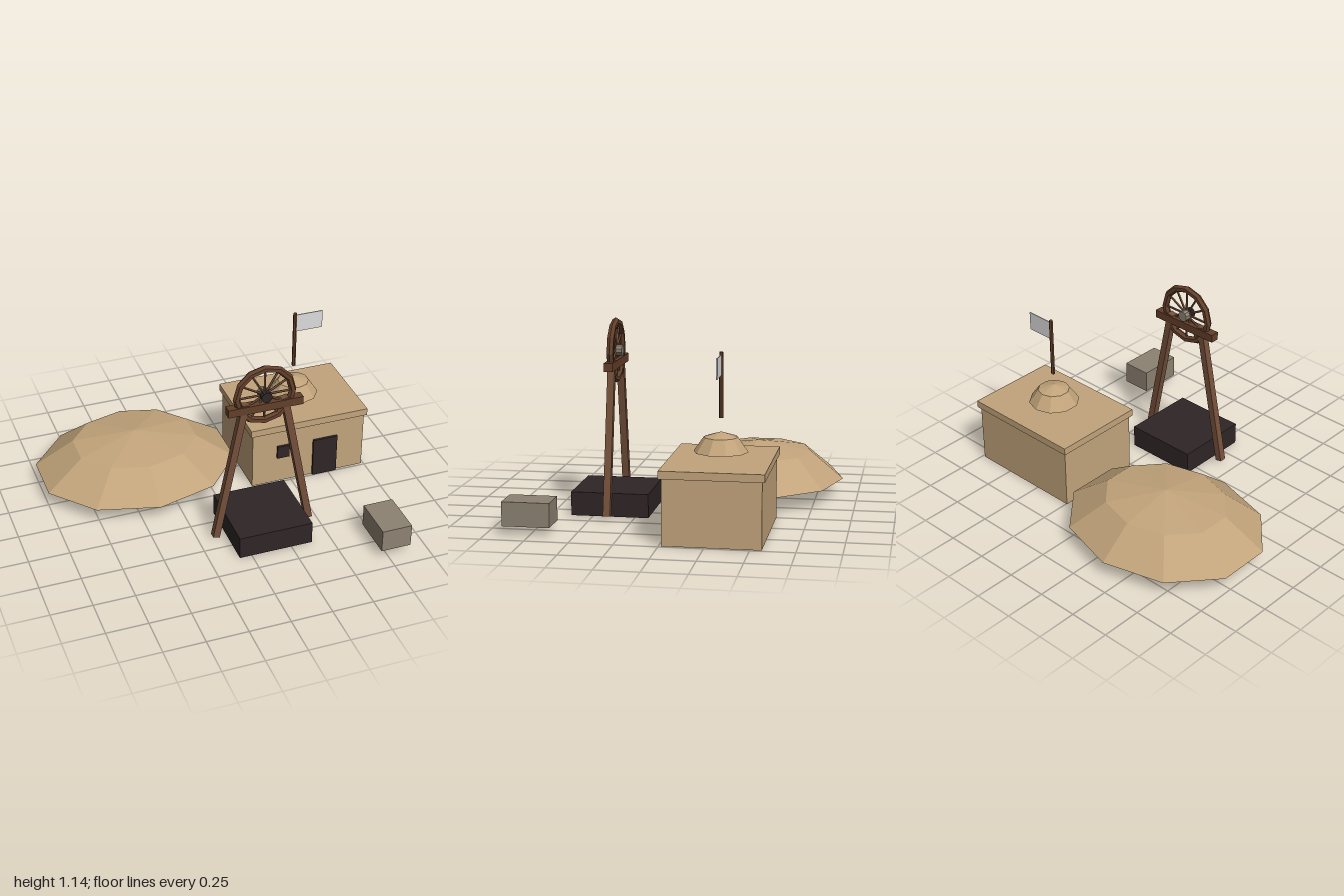
import * as THREE from 'three';

const mat = (name, color, extra = {}) => {
  const m = new THREE.MeshStandardMaterial({ color, flatShading: true, ...extra });
  m.name = name;
  return m;
};

export function createModel() {
  const model = new THREE.Group();
  model.name = 'mineSite';

  const sand = mat('sand', 0xc2a47b);
  const sandOpen = mat('sandOpen', 0xc2a47b, { side: THREE.DoubleSide });
  const wood = mat('wood', 0x74503a);
  const darkWood = mat('darkWood', 0x633f2a);
  const dark = mat('dark', 0x2f2526);
  const stone = mat('stone', 0x8d8272);
  const cloth = mat('cloth', 0xdcdcdc, { side: THREE.DoubleSide });

  const add = (name, geometry, material, parent = model) => {
    const mesh = new THREE.Mesh(geometry, material);
    mesh.name = name;
    parent.add(mesh);
    return mesh;
  };
  // Box given by its lower and upper corners
  const box = (name, material, [x0, y0, z0], [x1, y1, z1]) => {
    const mesh = add(name, new THREE.BoxGeometry(x1 - x0, y1 - y0, z1 - z0), material);
    mesh.position.set((x0 + x1) / 2, (y0 + y1) / 2, (z0 + z1) / 2);
    return mesh;
  };
  // Open ten-sided dome: base, shoulder ring and apex
  const dome = (name, r, shoulderR, shoulderY, h) => add(name, new THREE.LatheGeometry([
    new THREE.Vector2(r, 0), new THREE.Vector2(shoulderR, shoulderY), new THREE.Vector2(0, h),
  ], 10), sandOpen);

  // Spoil heap
  const heap = dome('spoilHeap', 0.631, 0.39, 0.166, 0.227);
  heap.position.set(-0.4, 0.105, -0.385);
  heap.scale.z = 0.832;

  // Hut
  box('hutWalls', sand, [0.245, 0, -0.565], [0.985, 0.38, -0.015]);
  box('hutRoof', sand, [0.23, 0.375, -0.58], [1, 0.42, 0]);
  box('door', dark, [0.645, 0, -0.02], [0.805, 0.26, 0]);
  box('window', dark, [0.405, 0.18, -0.02], [0.485, 0.265, 0]);
  dome('roofDome', 0.155, 0.097, 0.083, 0.113).position.set(0.615, 0.46, -0.29);

  // Flag
  add('flagPole', new THREE.CylinderGeometry(0.012, 0.012, 0.37, 6), darkWood)
    .position.set(0.615, 0.835, -0.29);
  box('flag', cloth, [0.62, 0.892, -0.293], [0.795, 1.007, -0.287]);

  // Mine shaft and stone block
  box('shaft', dark, [-0.075, 0, 0.17], [0.38, 0.14, 0.63]);
  box('stoneBlock', stone, [0.705, 0.05, 0.632], [0.89, 0.19, 0.906]);

  // Winding frame: two leaning legs and a crossbeam
  const cx = 0.15, cz = 0.402;
  for (const side of [-1, 1]) {
    const leg = add(side < 0 ? 'rightLeg' : 'leftLeg', new THREE.BoxGeometry(0.042, 0.91, 0.042), wood);
    leg.position.set(cx + side * 0.208, 0.465, cz);
    leg.rotation.z = side * 0.195;
  }
  box('crossbeam', darkWood, [-0.077, 0.855, cz - 0.027], [0.38, 0.905, cz + 0.027]);

  // Winding wheel
  const wheel = new THREE.Group();
  wheel.name = 'windingWheel';
  wheel.position.set(cx, 0.952, cz);
  model.add(wheel);
  add('rim', new THREE.TorusGeometry(0.171, 0.022, 6, 12), darkWood, wheel);
  for (let i = 0; i < 6; i++) {
    add('spoke', new THREE.CylinderGeometry(0.007, 0.007, 0.34, 5), wood, wheel).rotation.z = i * Math.PI / 6;
  }
  for (const [name, material, z] of [['hubFront', dark, 0.02], ['hubBack', stone, -0.02]]) {
    const hub = add(name, new THREE.CylinderGeometry(0.033, 0.033, 0.04, 10), material, wheel);
    hub.rotation.x = Math.PI / 2;
    hub.position.z = z;
  }

  return model;
}
